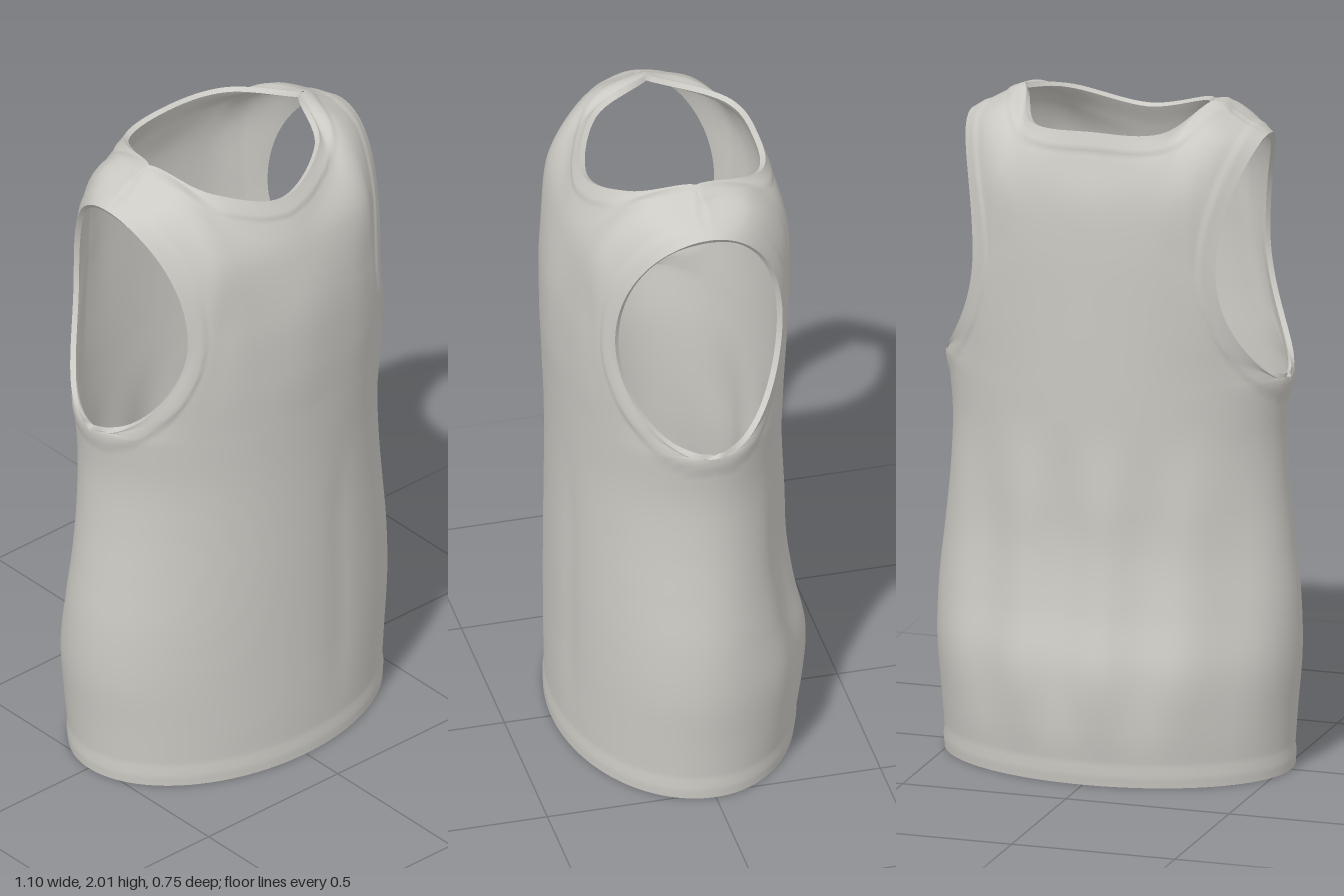
import * as THREE from 'three';
import { mergeVertices } from 'three/addons/utils/BufferGeometryUtils.js';

const V = (x, y, z) => new THREE.Vector3(x, y, z);
const spline = (pts) => new THREE.CatmullRomCurve3(pts, false, 'catmullrom');
const smooth = THREE.MathUtils.smoothstep;

const UNDERARM = 1.19, COLS = 72, BODY_ROWS = 60, TOP_ROWS = 60;
const THICK = 0.012;

// Torso size at even heights from hem to underarm: half width, front depth, back depth
const torso = spline([
  V(0.52, 0.355, 0.34), V(0.533, 0.358, 0.365), V(0.547, 0.358, 0.367), V(0.543, 0.358, 0.33),
  V(0.525, 0.358, 0.307), V(0.508, 0.358, 0.305), V(0.502, 0.36, 0.305), V(0.518, 0.366, 0.31),
]);

// Point on the elliptical torso; side is +1 for the front and -1 for the back
function bodyPoint(y, angle, side) {
  const s = torso.getPoint(y / UNDERARM);
  const x = s.x * Math.sin(angle);
  const c = Math.max(0, Math.cos(angle));
  let z = (side > 0 ? s.y : s.z) * c;
  const fold = smooth(y, 0.05, 0.35) * (1 - smooth(y, 0.75, 1.1));
  if (side < 0) z += 0.011 * fold * c * Math.cos((x + 0.05) * 25); // hanging folds at the back
  else z -= 0.006 * fold * Math.exp(-(((x - 0.15) / 0.05) ** 2));
  return V(x, y, side * z);
}

// Armhole edge, running from the underarm to the shoulder
const ARM_ANGLES = [0, 45, 90, 125, 155, 180];
function armhole(s, side) {
  const f = s * 5, i = Math.min(4, Math.floor(f));
  const a = THREE.MathUtils.degToRad(THREE.MathUtils.lerp(ARM_ANGLES[i], ARM_ANGLES[i + 1], f - i));
  const c = Math.cos(a);
  return V(0.37 + (c > 0 ? 0.148 : 0.08) * c * c, 1.55 - 0.36 * c, (side > 0 ? 0.26 : -0.235) * Math.sin(a));
}

// Chest and back guide lines above the underarm: centre, neckline, neck corner, middle of strap
const GUIDES = {
  front: [
    [[0, 1.36, 0.375], [0, 1.55, 0.37], [0, 1.72, 0.337], [0, 1.82, 0.302], [0, 1.895, 0.262]],
    [[0.2, 1.36, 0.345], [0.19, 1.56, 0.345], [0.185, 1.76, 0.318], [0.19, 1.88, 0.25], [0.205, 1.955, 0.18]],
    [[0.325, 1.35, 0.295], [0.29, 1.56, 0.312], [0.28, 1.79, 0.295], [0.285, 1.95, 0.175], [0.29, 2, 0]],
    [[0.395, 1.32, 0.245], [0.335, 1.56, 0.288], [0.335, 1.78, 0.262], [0.36, 1.925, 0.155], [0.37, 1.965, 0]],
  ],
  back: [
    [[0, 1.4, -0.315], [0, 1.6, -0.318], [0, 1.75, -0.312], [0, 1.86, -0.285], [0, 1.95, -0.255]],
    [[0.19, 1.38, -0.297], [0.19, 1.6, -0.305], [0.19, 1.76, -0.3], [0.195, 1.87, -0.27], [0.195, 1.95, -0.215]],
    [[0.32, 1.35, -0.255], [0.29, 1.57, -0.275], [0.28, 1.8, -0.268], [0.285, 1.945, -0.17], [0.29, 2, 0]],
    [[0.39, 1.32, -0.21], [0.33, 1.56, -0.255], [0.335, 1.785, -0.24], [0.36, 1.925, -0.15], [0.37, 1.965, 0]],
  ],
};

// One panel as a grid of points from hem to neckline and shoulder seam
function panelRows(side) {
  const rows = [];
  for (let j = 0; j <= BODY_ROWS; j++) {
    const row = [];
    for (let i = 0; i <= COLS; i++) {
      row.push(bodyPoint((UNDERARM * j) / BODY_ROWS, (i / COLS - 0.5) * Math.PI, side));
    }
    rows.push(row);
  }
  const lines = GUIDES[side > 0 ? 'front' : 'back'].map((g, k) => spline([
    bodyPoint(1.02, (k * Math.PI) / 8, side), bodyPoint(UNDERARM, (k * Math.PI) / 8, side),
    ...g.map((p) => V(...p)),
  ]));
  for (let j = 1; j <= TOP_ROWS; j++) {
    const s = j / TOP_ROWS;
    const half = [...lines.map((l) => l.getPoint((1 + 5 * s) / 6)), armhole(s, side)];
    const mirrored = half.slice(1).reverse().map((p) => V(-p.x, p.y, p.z));
    const across = spline([...mirrored, ...half]);
    const row = [];
    for (let i = 0; i <= COLS; i++) {
      const t = (i / COLS) * 2 - 1, a = Math.abs(t);
      let p = across.getPoint(i / COLS);
      if (j === TOP_ROWS && a >= 0.5) { // straight shoulder seam shared by both panels
        p = half[2].clone().lerp(half[4], (a - 0.5) * 2);
        p.x *= Math.sign(t);
      }
      row.push(p);
    }
    rows.push(row);
  }
  return rows;
}

function geometryFrom(positions, index) {
  const g = new THREE.BufferGeometry();
  g.setAttribute('position', new THREE.Float32BufferAttribute(positions, 3));
  g.setIndex(index);
  return g;
}

// Front and back panels sewn into one open sheet
function sheet() {
  const positions = [], index = [];
  for (const side of [1, -1]) {
    const base = positions.length / 3, rows = panelRows(side), n = COLS + 1;
    rows.forEach((r) => r.forEach((p) => positions.push(p.x, p.y, p.z)));
    for (let j = 0; j < rows.length - 1; j++) {
      for (let i = 0; i < COLS; i++) {
        const a = base + j * n + i, b = a + 1, c = b + n, d = a + n;
        if (side > 0) index.push(a, b, c, a, c, d);
        else index.push(a, c, b, a, d, c);
      }
    }
  }
  const g = mergeVertices(geometryFrom(positions, index), 1e-4);
  g.computeVertexNormals();
  return g;
}

// Directed edges that belong to one triangle only
function openEdges(index) {
  const edges = new Map();
  for (let i = 0; i < index.length; i += 3) {
    for (let k = 0; k < 3; k++) {
      const a = index[i + k], b = index[i + ((k + 1) % 3)];
      edges.set(a + '_' + b, [a, b]);
    }
  }
  return [...edges.values()].filter(([a, b]) => !edges.has(b + '_' + a));
}

export function createModel() {
  const group = new THREE.Group();
  group.name = 'tankTop';
  const cloth = new THREE.MeshStandardMaterial({ color: 0xcccac4, side: THREE.DoubleSide });
  cloth.name = 'warm grey cloth';

  const base = sheet();
  const pos = base.attributes.position, nor = base.attributes.normal;
  const index = Array.from(base.index.array);
  const edges = openEdges(index);
  const rim = edges.map(([a]) => V().fromBufferAttribute(pos, a));

  // Outer cloth with raised hem bands along every opening, and an inner layer
  const outer = [], inner = [];
  for (let i = 0; i < pos.count; i++) {
    const p = V().fromBufferAttribute(pos, i), n = V().fromBufferAttribute(nor, i);
    let d = Infinity;
    for (const r of rim) d = Math.min(d, r.distanceToSquared(p));
    const lift = 0.005 * (1 - smooth(Math.sqrt(d), 0.045, 0.062));
    outer.push(...p.clone().addScaledVector(n, lift).toArray());
    inner.push(...p.addScaledVector(n, -THICK).toArray());
  }
  const innerIndex = [];
  for (let i = 0; i < index.length; i += 3) innerIndex.push(index[i], index[i + 2], index[i + 1]);

  // Narrow edge joining the two layers
  const trimIndex = [], count = pos.count;
  for (const [a, b] of edges) trimIndex.push(b, a, a + count, b, a + count, b + count);

  const add = (name, positions, idx) => {
    const g = geometryFrom(positions, idx);
    g.computeVertexNormals();
    const m = new THREE.Mesh(g, cloth);
    m.name = name;
    group.add(m);
  };
  add('outerCloth', outer, index);
  add('innerCloth', inner, innerIndex);
  add('openingEdges', outer.concat(inner), trimIndex);
  return group;
}
